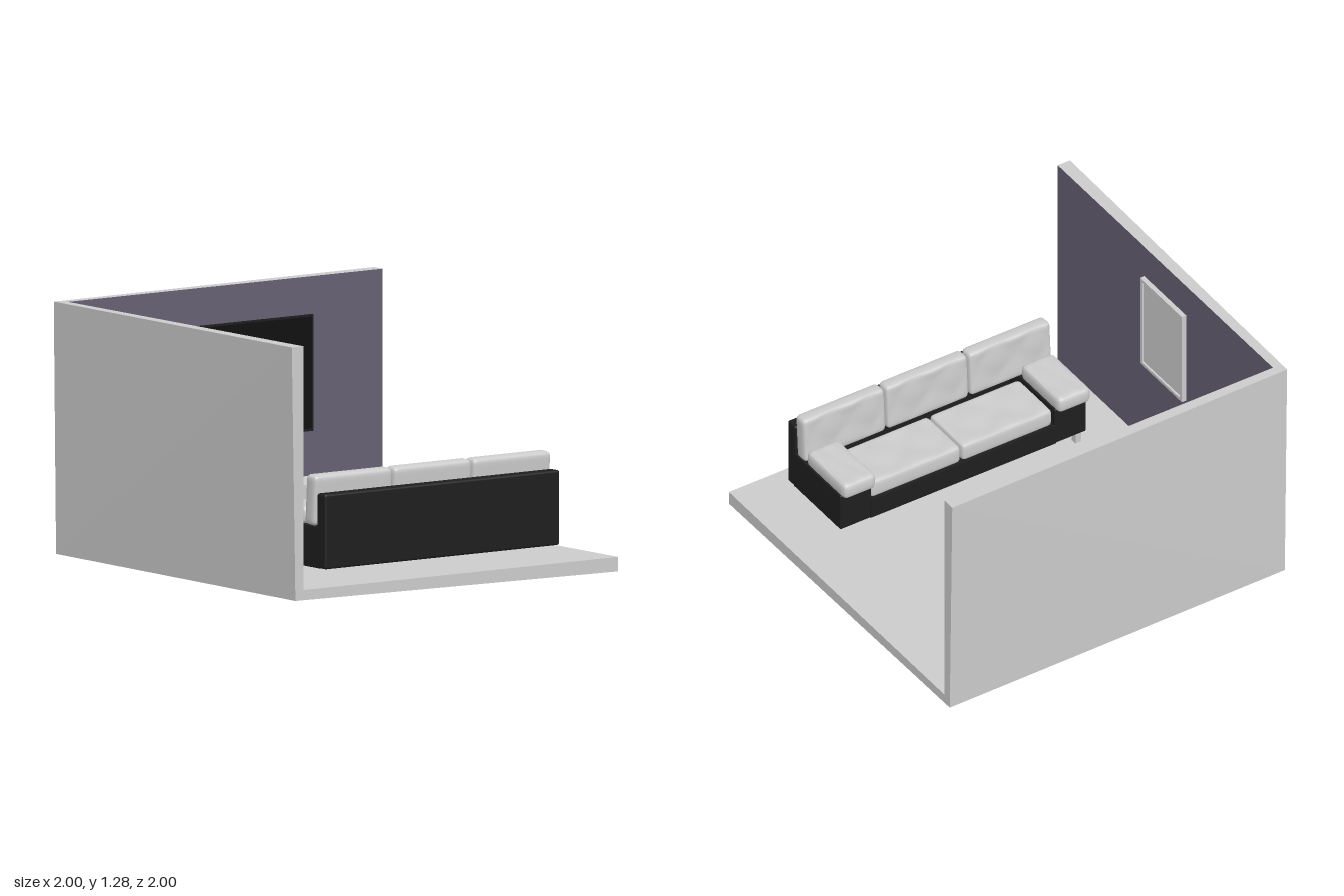
import * as THREE from 'three';
import { mergeVertices } from 'three/addons/utils/BufferGeometryUtils.js';
import { RoundedBoxGeometry } from 'three/addons/geometries/RoundedBoxGeometry.js';

const mat = (color) => new THREE.MeshStandardMaterial({ color });
const grey = mat(0xcccccc);
const wallPaint = mat(0x666073);
const black = mat(0x1e1e1e);
const screenBlack = mat(0x0f0f0f);

function add(parent, name, geometry, material) {
  const mesh = new THREE.Mesh(geometry, material);
  mesh.name = name;
  parent.add(mesh);
  return mesh;
}

// Box given by its limits on each axis; r > 0 rounds its edges
function box(parent, name, [x0, x1], [y0, y1], [z0, z1], material = grey, r = 0) {
  const size = [x1 - x0, y1 - y0, z1 - z0];
  const geo = r ? new RoundedBoxGeometry(...size, 2, r) : new THREE.BoxGeometry(...size);
  const mesh = add(parent, name, geo, material);
  mesh.position.set((x0 + x1) / 2, (y0 + y1) / 2, (z0 + z1) / 2);
  return mesh;
}

// Flat four-cornered faces, corners counter-clockwise
function quads(parent, name, faces, material) {
  const pos = faces.flatMap(([a, b, c, d]) => [a, b, c, a, c, d].flat());
  const geo = new THREE.BufferGeometry();
  geo.setAttribute('position', new THREE.Float32BufferAttribute(pos, 3));
  geo.computeVertexNormals();
  return add(parent, name, geo, material);
}

// Soft cushion: a fine box with rounded edges and diagonal creases on its broad upper face
function cushion(w, h, d, r, tuft) {
  let geo = new THREE.BoxGeometry(w, h, d, 22, 8, 18);
  geo.deleteAttribute('normal');
  geo.deleteAttribute('uv');
  geo = mergeVertices(geo);
  const pos = geo.attributes.position;
  const half = new THREE.Vector3(w / 2, h / 2, d / 2);
  const inner = half.clone().subScalar(r);
  const p = new THREE.Vector3();
  const core = new THREE.Vector3();
  for (let i = 0; i < pos.count; i++) {
    p.fromBufferAttribute(pos, i).divide(half);
    const u = p.x, v = p.z, top = p.y > 0.99;
    for (const k of ['x', 'y', 'z']) p[k] = Math.sin(p[k] * Math.PI / 2);
    p.multiply(half);
    core.copy(p).clamp(inner.clone().negate(), inner);
    p.sub(core).setLength(r).add(core);
    if (top) {
      const fade = (1 - u * u) * (1 - v * v);
      const crease = Math.abs(Math.sin((u * 2 + v) * 2.4)) * Math.abs(Math.sin((u * 2 - v) * 2.4 + 0.8));
      p.y -= tuft * fade * (1 - crease);
    }
    pos.setXYZ(i, p.x, p.y, p.z);
  }
  geo.computeVertexNormals();
  return geo;
}

function buildRoom() {
  const room = new THREE.Group();
  room.name = 'room';
  const a = -0.928, f = 0.072, T = 1.28, m = -0.978, c = -0.97;
  // Inner corners
  const A0 = [a, f, a], A1 = [a, T, a], L0 = [a, f, 1], L1 = [a, T, 1];
  const R0 = [1, f, a], R1 = [1, T, a], F = [1, f, 1];
  // Outer corners
  const a0 = [c, 0.03, c], a1 = [m, T, m], l0 = [m, 0.022, 1], l1 = [-1, T, 1];
  const r0 = [1, 0.022, m], r1 = [1, T, -1], f0 = [1, 0, 1];
  quads(room, 'floor', [[A0, L0, F, R0]], grey);
  quads(room, 'paintedWalls', [[A0, A1, L1, L0], [A0, R0, R1, A1]], wallPaint);
  quads(room, 'outerShell', [[a0, l0, l1, a1], [a0, a1, r1, r0], [a0, r0, f0, l0]], grey);
  quads(room, 'shellRim', [
    [l0, f0, F, L0], [l0, L0, L1, l1], [l1, L1, A1, a1],
    [a1, A1, R1, r1], [f0, r0, R0, F], [r0, r1, R1, R0],
  ], grey);
  return room;
}

function buildTelevision() {
  const tv = new THREE.Group();
  tv.name = 'television';
  const w = 1.04, h = 0.58;
  // Body narrows toward the wall
  const body = new THREE.BoxGeometry(w, h, 0.016);
  const pos = body.attributes.position;
  for (let i = 0; i < pos.count; i++) {
    if (pos.getZ(i) < 0) {
      pos.setX(i, pos.getX(i) - Math.sign(pos.getX(i)) * 0.03);
      pos.setY(i, pos.getY(i) - Math.sign(pos.getY(i)) * 0.012);
    }
  }
  body.computeVertexNormals();
  add(tv, 'televisionBody', body, black);
  add(tv, 'screen', new THREE.BoxGeometry(w - 0.024, h - 0.024, 0.006), screenBlack).position.z = 0.0065;
  tv.position.set(0.035, 0.808, -0.907);
  return tv;
}

function buildPicture() {
  const picture = new THREE.Group();
  picture.name = 'wallPicture';
  const rect = (P, w, h) => {
    const s = new P();
    s.moveTo(-w / 2, -h / 2);
    s.lineTo(w / 2, -h / 2);
    s.lineTo(w / 2, h / 2);
    s.lineTo(-w / 2, h / 2);
    s.closePath();
    return s;
  };
  const frame = rect(THREE.Shape, 0.375, 0.53);
  frame.holes.push(rect(THREE.Path, 0.342, 0.497));
  add(picture, 'pictureFrame', new THREE.ExtrudeGeometry(frame, { depth: 0.026, bevelEnabled: false }), grey);
  add(picture, 'picturePanel', new THREE.BoxGeometry(0.345, 0.5, 0.01), grey).position.z = 0.01;
  picture.rotation.y = Math.PI / 2;
  picture.position.set(-0.928, 0.834, 0.035);
  return picture;
}

function buildConsole() {
  const unit = new THREE.Group();
  unit.name = 'mediaConsole';
  const X = [-0.68, 0.75], Z = [-0.885, -0.64], t = 0.018;
  box(unit, 'consoleTop', X, [0.30 - t, 0.30], Z);
  box(unit, 'consoleBottom', X, [0.105, 0.105 + t], Z);
  box(unit, 'consoleRightEnd', [X[0], X[0] + t], [0.105 + t, 0.30 - t], Z);
  box(unit, 'consoleLeftEnd', [X[1] - t, X[1]], [0.105 + t, 0.30 - t], Z);
  box(unit, 'consoleBack', [X[0] + t, X[1] - t], [0.105 + t, 0.30 - t], [Z[0], Z[0] + t]);
  box(unit, 'consoleFoot', [0.68, 0.725], [0.073, 0.105], [-0.69, -0.65]);
  return unit;
}

function buildSofa() {
  const sofa = new THREE.Group();
  sofa.name = 'sofa';
  // Upholstered base
  box(sofa, 'sofaBack', [-0.687, 0.752], [0.135, 0.507], [0.785, 0.855], black, 0.012);
  box(sofa, 'sofaSeatBase', [-0.51, 0.575], [0.135, 0.245], [0.378, 0.8], black);
  for (const [side, x] of [['right', [-0.687, -0.505]], ['left', [0.57, 0.752]]]) {
    box(sofa, side + 'ArmBase', x, [0.135, 0.342], [0.38, 0.8], black, 0.006);
    const arm = add(sofa, side + 'ArmCushion', cushion(0.192, 0.09, 0.35, 0.03, 0.006), grey);
    arm.position.set((x[0] + x[1]) / 2, 0.386, 0.51);
  }
  box(sofa, 'sofaFoot', [-0.665, -0.632], [0.073, 0.135], [0.39, 0.423]);
  // Seat cushions
  for (const x of [-0.233, 0.303]) {
    add(sofa, 'seatCushion', cushion(0.53, 0.1, 0.305, 0.025, 0.01), grey).position.set(x, 0.293, 0.538);
  }
  // Back cushions, upper face turned toward the seat and leaning back
  for (let i = 0; i < 3; i++) {
    const back = add(sofa, 'backCushion', cushion(0.48, 0.082, 0.252, 0.025, 0.008), grey);
    back.rotation.x = -Math.PI / 2 + 0.06;
    back.position.set(-0.456 + i * 0.486, 0.468, 0.737);
  }
  return sofa;
}

export function createModel() {
  const model = new THREE.Group();
  model.name = 'livingRoom';
  model.add(buildRoom(), buildTelevision(), buildPicture(), buildConsole(), buildSofa());
  return model;
}
